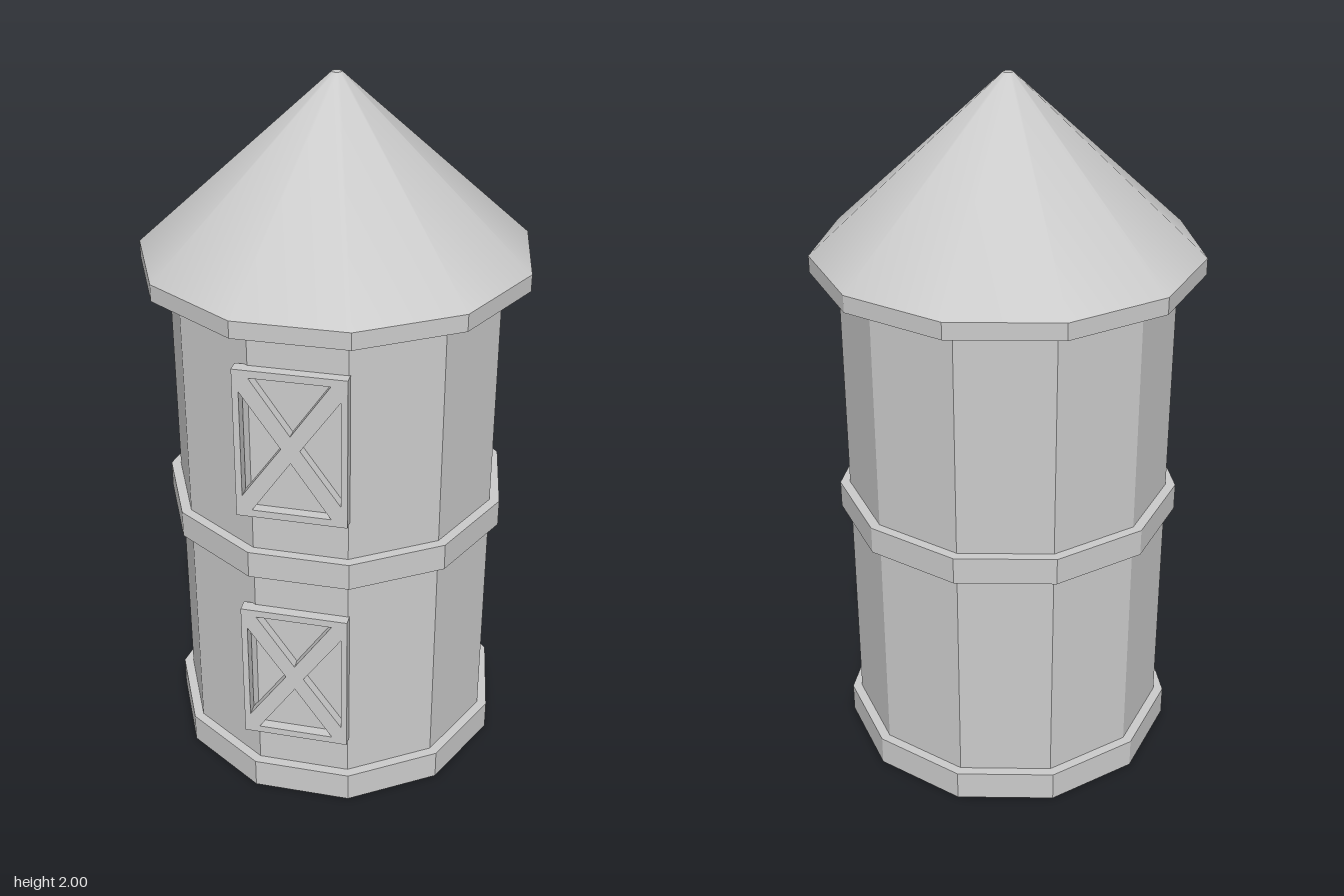
import * as THREE from 'three';

const SIDES = 11;
const CENTRE_Z = 0.008;

const flat = new THREE.MeshStandardMaterial({ color: 0xcccccc, flatShading: true });
const smooth = new THREE.MeshStandardMaterial({ color: 0xcccccc });

// Eleven-sided drum with a flat side to the front, from y0 to y1
function drum(name, rTop, rBottom, y0, y1, material = flat) {
  const geometry = new THREE.CylinderGeometry(rTop, rBottom, y1 - y0, SIDES, 1, false, Math.PI);
  const mesh = new THREE.Mesh(geometry, material);
  mesh.name = name;
  mesh.position.set(0, (y0 + y1) / 2, CENTRE_Z);
  return mesh;
}

function polygon(PathType, points) {
  const path = new PathType();
  points.forEach(([x, y], i) => (i ? path.lineTo(x, y) : path.moveTo(x, y)));
  path.closePath();
  return path;
}

// Hatch panel: a frame with a diagonal cross, leaving four triangular recesses
function hatch(name, y) {
  const w = 0.149, h = 0.215;
  const shape = polygon(THREE.Shape, [[-w, -h], [w, -h], [w, h], [-w, h]]);
  for (const s of [-1, 1]) {
    shape.holes.push(polygon(THREE.Path, [[-0.106, s * 0.194], [0.106, s * 0.194], [0, s * 0.039]]));
    shape.holes.push(polygon(THREE.Path, [[s * 0.132, -0.153], [s * 0.132, 0.153], [s * 0.025, 0]]));
  }
  const geometry = new THREE.ExtrudeGeometry(shape, { depth: 0.035, bevelEnabled: false });
  const mesh = new THREE.Mesh(geometry, flat);
  mesh.name = name;
  mesh.position.set(-0.015, y, 0.445);
  return mesh;
}

export function createModel() {
  const model = new THREE.Group();
  model.name = 'silo';
  model.add(
    // Walls and the bands around them
    drum('wall', 0.462, 0.462, 0, 1.48),
    drum('baseBand', 0.49, 0.49, 0, 0.087),
    drum('middleBand', 0.49, 0.49, 0.747, 0.825),
    // Roof with a blunt tip
    drum('eave', 0.538, 0.538, 1.478, 1.525),
    drum('roof', 0.014, 0.538, 1.525, 2, smooth),
    // Hatches on the front side
    hatch('lowerHatch', 0.421),
    hatch('upperHatch', 1.157)
  );
  return model;
}
